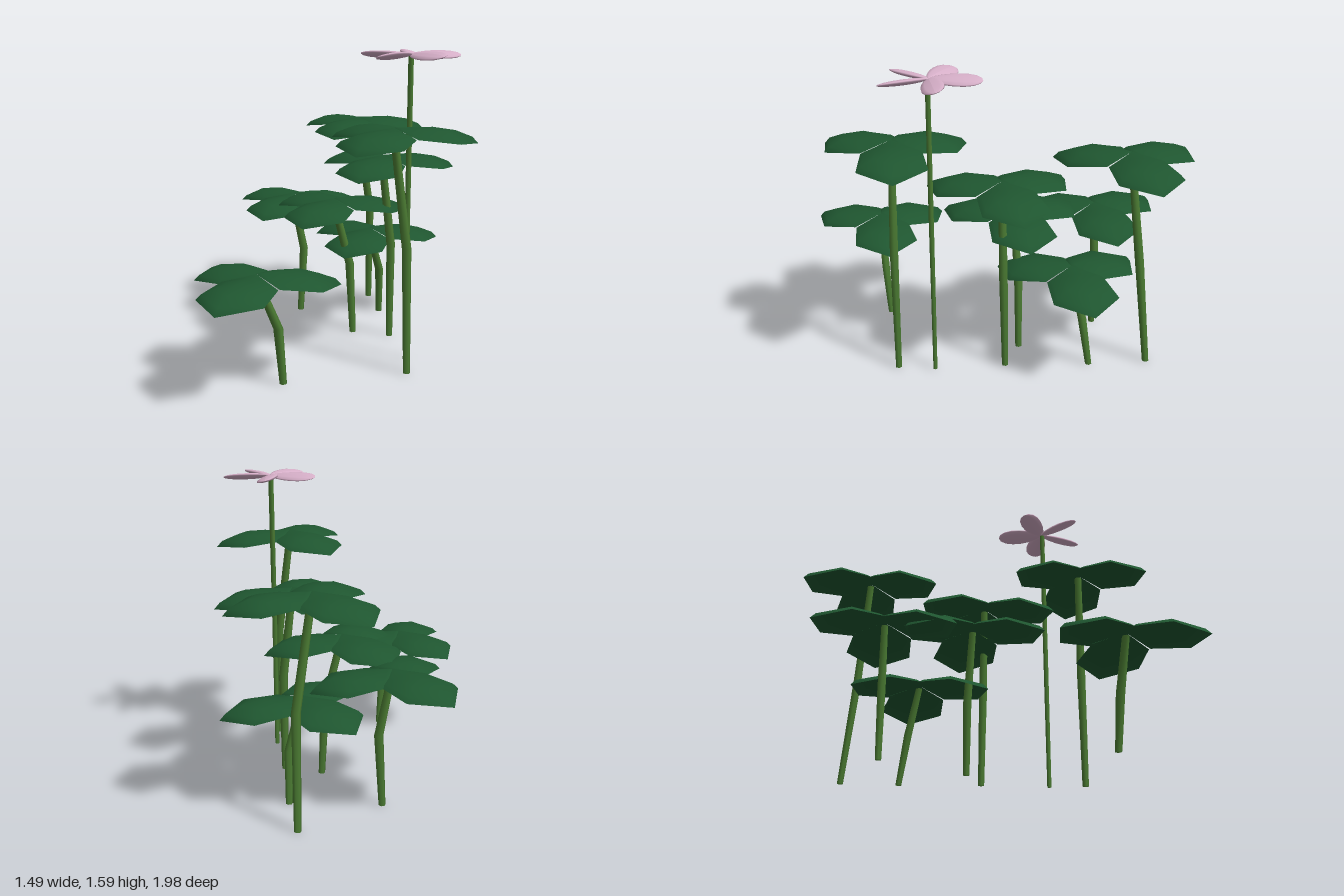
import * as THREE from 'three';

const leafMat = new THREE.MeshStandardMaterial({ color: 0x1f5630, side: THREE.DoubleSide });
leafMat.name = 'leaf green';
const stemMat = new THREE.MeshStandardMaterial({ color: 0x4a7a32 });
stemMat.name = 'stem green';
const petalMat = new THREE.MeshStandardMaterial({ color: 0xd6afc8 });
petalMat.name = 'petal pink';

// Domed six-cornered leaf growing along +x from its base, with a steep rim
function leafGeometry() {
  const outline = [[0, 0], [0.08, -0.15], [0.28, -0.17], [0.42, 0], [0.28, 0.17], [0.08, 0.15]];
  const edgeY = [0.03, -0.012, -0.035, -0.055, -0.035, -0.012];
  const cx = 0.19, crown = 0.03;
  const pos = [cx, crown, 0];
  const rings = [[0.5, 0.22], [0.87, 0.62], [1, 1]]; // [spread, drop]
  for (const [s, d] of rings)
    outline.forEach(([x, z], i) => pos.push(cx + (x - cx) * s, crown + (edgeY[i] - crown) * d, z * s));
  const idx = [];
  for (let i = 0; i < 6; i++) {
    const j = (i + 1) % 6;
    idx.push(0, 1 + j, 1 + i);
    for (let r = 0; r < 2; r++) {
      const a = 1 + r * 6, b = a + 6;
      idx.push(a + i, a + j, b + i, a + j, b + j, b + i);
    }
  }
  const g = new THREE.BufferGeometry();
  g.setAttribute('position', new THREE.Float32BufferAttribute(pos, 3));
  g.setIndex(idx);
  g.computeVertexNormals();
  return g;
}

// Tapered six-sided stem through points [x, y, z, radius]
function stemGeometry(points) {
  const n = 6, pos = [], idx = [];
  for (const [x, y, z, r] of points)
    for (let k = 0; k < n; k++) {
      const a = (k / n) * Math.PI * 2;
      pos.push(x + r * Math.cos(a), y, z + r * Math.sin(a));
    }
  for (let s = 0; s < points.length - 1; s++)
    for (let k = 0; k < n; k++) {
      const a = s * n + k, b = s * n + ((k + 1) % n);
      idx.push(a, a + n, b, b, a + n, b + n);
    }
  const top = (points.length - 1) * n;
  for (let k = 1; k < n - 1; k++) {
    idx.push(0, k, k + 1);
    idx.push(top, top + k + 1, top + k);
  }
  const g = new THREE.BufferGeometry();
  g.setAttribute('position', new THREE.Float32BufferAttribute(pos, 3));
  g.setIndex(idx);
  g.computeVertexNormals();
  return g;
}

// Flattened petal along +x, narrow at the base and widest past the middle
function petalGeometry() {
  const g = new THREE.SphereGeometry(1, 10, 8);
  g.rotateZ(-Math.PI / 2);
  const p = g.attributes.position;
  for (let i = 0; i < p.count; i++) {
    const x = p.getX(i);
    p.setXYZ(i, 0.13 + x * 0.13, p.getY(i) * 0.014, p.getZ(i) * 0.056 * (1 + 0.25 * x));
  }
  g.computeVertexNormals();
  return g;
}

function add(parent, geometry, material, name) {
  const m = new THREE.Mesh(geometry, material);
  m.name = name;
  parent.add(m);
  return m;
}

export function createModel() {
  const model = new THREE.Group();
  model.name = 'floweringPlant';
  const leaf = leafGeometry(), petal = petalGeometry();
  const rad = THREE.MathUtils.degToRad;

  // Three-leaved shoots: stem base, bend and top, then the turn of the leaves
  const shoots = [
    { base: [-0.31, 0.6], bend: [-0.335, 0.3, 0.62], top: [-0.44, 0.55, 0.635], turn: 0 },
    { base: [-0.035, -0.54], bend: [-0.015, 0.39, -0.54], top: [-0.08, 0.7, -0.54], turn: 0 },
    { base: [0.185, -0.08], bend: [0.165, 0.41, -0.08], top: [0.07, 0.755, -0.065], turn: -1 },
    { base: [0.315, 0.58], bend: [0.305, 0.65, 0.58], top: [0.235, 1.215, 0.57], turn: -6 },
    { base: [0.43, -0.73], bend: [0.42, 0.59, -0.67], top: [0.33, 1.13, -0.625], turn: 1 },
    { base: [0.37, 0.02], bend: [0.37, 0.54, 0.03], top: [0.315, 1.0, 0.03], turn: 2 },
    { base: [0.42, -0.42], bend: [0.41, 0.28, -0.38], top: [0.335, 0.52, -0.33], turn: 0 },
  ];
  for (const { base, bend, top, turn } of shoots) {
    const shoot = new THREE.Group();
    shoot.name = 'shoot';
    model.add(shoot);
    add(shoot, stemGeometry([
      [base[0], 0.01, base[1], 0.018], [...bend, 0.024], [top[0], top[1] + 0.01, top[2], 0.02],
    ]), stemMat, 'stem');
    for (const angle of [5, 118, -122]) {
      const m = add(shoot, leaf, leafMat, 'leaf');
      m.position.set(...top);
      m.rotation.y = rad(angle + turn);
    }
  }

  // Tall flower
  const flower = new THREE.Group();
  flower.name = 'flower';
  model.add(flower);
  add(flower, stemGeometry([[0.36, 0.01, 0.39, 0.012], [0.36, 0.8, 0.39, 0.014], [0.365, 1.575, 0.39, 0.014]]),
    stemMat, 'flowerStem');
  for (let i = 0; i < 5; i++) {
    const m = add(flower, petal, petalMat, 'petal');
    m.position.set(0.365, 1.577, 0.385);
    m.rotation.set(rad(16), rad(3 + i * 72), 0, 'YXZ');
  }
  return model;
}
